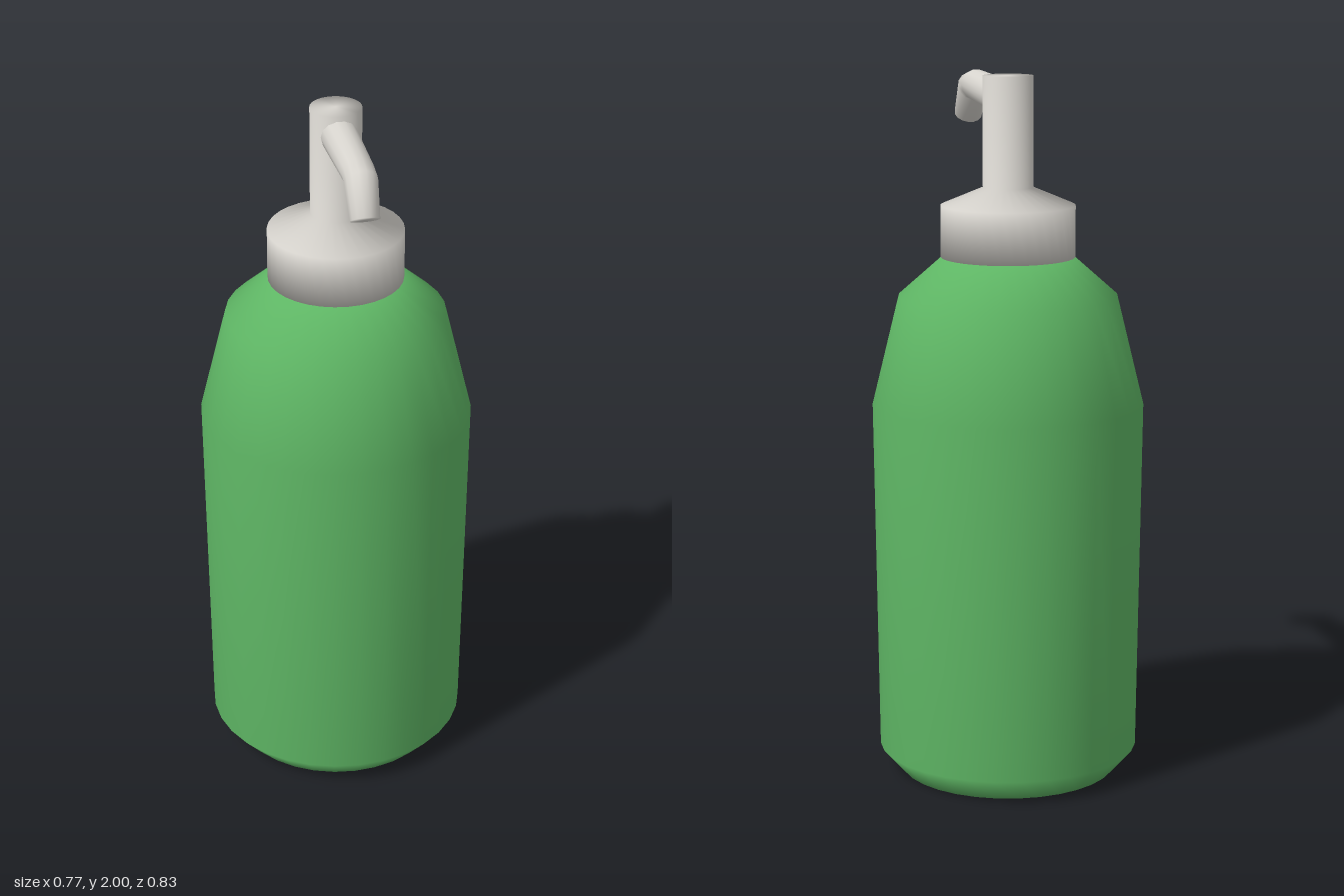
import * as THREE from 'three';

const AXIS_Z = -0.03; // the bottle axis sits slightly behind the centre

// Smooth turned part from a bottom-to-top [radius, y] profile
function turned(name, profile, sides, material) {
  const points = profile.map(([r, y]) => new THREE.Vector2(r, y));
  const mesh = new THREE.Mesh(new THREE.LatheGeometry(points, sides), material);
  mesh.name = name;
  mesh.position.z = AXIS_Z;
  return mesh;
}

// Bent tapering tube in the x = 0 plane; rings are [y, z, radius, pitch]
function bentSpout(rings, sides) {
  const positions = [], index = [];
  for (const [y, z, r, pitch] of rings) {
    for (let i = 0; i < sides; i++) {
      const a = (i / sides) * Math.PI * 2;
      const up = Math.sin(a) * r;
      positions.push(Math.cos(a) * r, y + up * Math.cos(pitch), z + up * Math.sin(pitch));
    }
  }
  for (let k = 0; k < rings.length - 1; k++) {
    for (let i = 0; i < sides; i++) {
      const j = (i + 1) % sides;
      const a = k * sides + i, b = k * sides + j;
      index.push(a, b, b + sides, a, b + sides, a + sides);
    }
  }
  // closed tip
  const last = rings.length - 1;
  const centre = positions.length / 3;
  positions.push(0, rings[last][0], rings[last][1]);
  for (let i = 0; i < sides; i++) {
    index.push(last * sides + i, last * sides + ((i + 1) % sides), centre);
  }
  const geometry = new THREE.BufferGeometry();
  geometry.setAttribute('position', new THREE.Float32BufferAttribute(positions, 3));
  geometry.setIndex(index);
  geometry.computeVertexNormals();
  return geometry;
}

export function createModel() {
  const green = new THREE.MeshStandardMaterial({ color: 0x5fb765 });
  green.name = 'green plastic';
  const grey = new THREE.MeshStandardMaterial({ color: 0xd8d5cf });
  grey.name = 'pale grey plastic';

  const group = new THREE.Group();
  group.name = 'pumpBottle';

  // Bottle with chamfered foot and sloping shoulders
  group.add(turned('bottle', [
    [0, 0], [0.31, 0], [0.372, 0.07], [0.385, 1.08], [0.31, 1.385], [0.18, 1.5], [0, 1.5],
  ], 32, green));

  // Screw collar and pump stem
  group.add(turned('collarAndStem', [
    [0, 1.495], [0.19, 1.495], [0.19, 1.64], [0.071, 1.69], [0.071, 2], [0, 2],
  ], 32, grey));

  // Spout reaching forward and bending down
  const spout = new THREE.Mesh(bentSpout([
    [1.935, -0.01, 0.051, -0.05],
    [1.951, 0.292, 0.044, 0.02],
    [1.944, 0.325, 0.045, 0.5],
    [1.86, 0.38, 0.04, 0.98],
  ], 14), grey);
  spout.name = 'spout';
  group.add(spout);

  return group;
}
